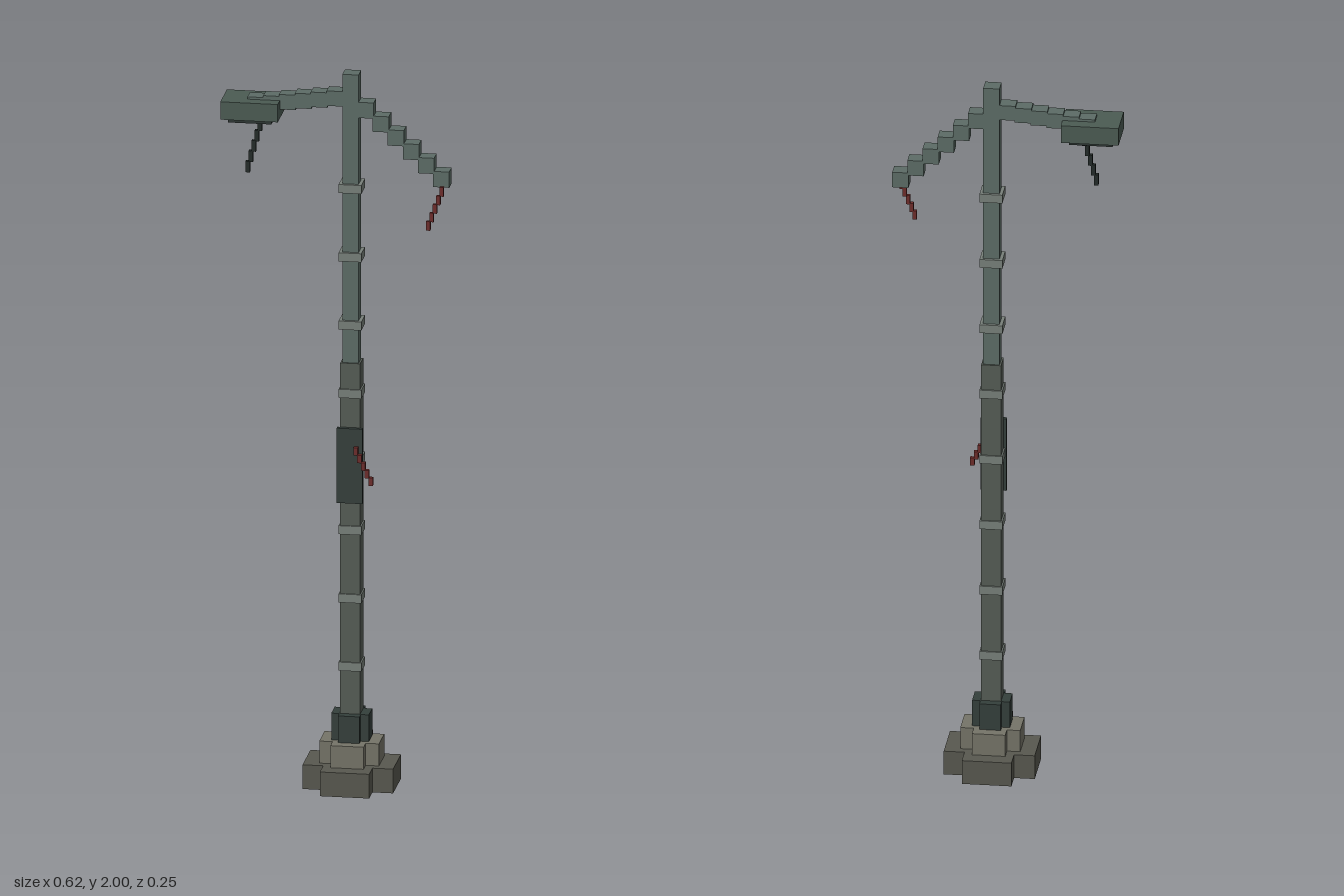
import * as THREE from 'three';

const mat = (color) => new THREE.MeshStandardMaterial({ color, flatShading: true });
const MAT = {
  stone: mat(0x58584f), paleStone: mat(0x757468), dark: mat(0x343f3b),
  lowerMetal: mat(0x555c55), metal: mat(0x5c6c66), band: mat(0x78807a),
  head: mat(0x4b5b53), lens: mat(0x2c3532), cable: mat(0x222a28), red: mat(0x6e2c2a),
};
const PX = 0.04; // pole axis

export function createModel() {
  const root = new THREE.Group();

  const group = (name) => {
    const g = new THREE.Group();
    g.name = name;
    root.add(g);
    return g;
  };

  // Box given by its minimum and maximum corners
  const box = (parent, name, material, [x0, y0, z0], [x1, y1, z1]) => {
    const mesh = new THREE.Mesh(new THREE.BoxGeometry(x1 - x0, y1 - y0, z1 - z0), material);
    mesh.position.set((x0 + x1) / 2, (y0 + y1) / 2, (z0 + z1) / 2);
    mesh.name = name;
    parent.add(mesh);
  };

  // Square column around the pole axis
  const column = (parent, name, material, half, y0, y1) =>
    box(parent, name, material, [PX - half, y0, -half], [PX + half, y1, half]);

  // Plus-shaped slab with long half-length a and short half-width b
  const plusSlab = (name, material, a, b, y0, y1) => {
    const s = new THREE.Shape();
    [[b, a], [b, b], [a, b], [a, -b], [b, -b], [b, -a],
      [-b, -a], [-b, -b], [-a, -b], [-a, b], [-b, b], [-b, a]]
      .reverse().forEach(([x, y], i) => (i ? s.lineTo(x, y) : s.moveTo(x, y)));
    const geo = new THREE.ExtrudeGeometry(s, { depth: y1 - y0, bevelEnabled: false });
    geo.rotateX(-Math.PI / 2);
    const mesh = new THREE.Mesh(geo, material);
    mesh.position.set(PX, y0, 0);
    mesh.name = name;
    root.add(mesh);
  };

  // Loose cable: a stepped chain of small boxes between two points
  const cable = (name, material, from, to, count, size) => {
    const g = group(name);
    const a = new THREE.Vector3(...from), b = new THREE.Vector3(...to);
    const h = Math.abs(a.y - b.y) / count + 0.002;
    for (let i = 0; i < count; i++) {
      const p = a.clone().lerp(b, (i + 0.5) / count);
      box(g, 'cableLink', material,
        [p.x - size / 2, p.y - h / 2, p.z - size / 2], [p.x + size / 2, p.y + h / 2, p.z + size / 2]);
    }
  };

  // Stepped foot
  plusSlab('footing', MAT.stone, 0.123, 0.067, 0, 0.068);
  plusSlab('plinth', MAT.paleStone, 0.081, 0.045, 0.068, 0.13);
  plusSlab('collar', MAT.dark, 0.051, 0.029, 0.13, 0.205);

  // Pole with its bands
  const pole = group('pole');
  column(pole, 'lowerPole', MAT.lowerMetal, 0.027, 0.2, 1.19);
  column(pole, 'upperPole', MAT.metal, 0.022, 1.19, 2);
  for (let i = 0; i < 8; i++) {
    const y = 0.338 + i * 0.1918;
    column(pole, 'band', MAT.band, 0.031, y - 0.012, y + 0.012);
  }

  // Service panel with a torn red wire
  box(root, 'servicePanel', MAT.dark, [0.005, 0.8, 0.026], [0.075, 1.01, 0.039]);
  cable('panelWire', MAT.red, [0.053, 0.96, 0.044], [0.106, 0.86, 0.055], 5, 0.012);

  // Lamp arm, rising gently towards the pole
  const arm = group('lampArm');
  for (let i = 0; i < 6; i++) {
    const x = 0.018 - i * 0.043, top = 1.951 - i * 0.0055;
    box(arm, 'armSegment', MAT.metal, [x - 0.043 / 2 - 0.0215, top - 0.042, -0.021], [x + 0.002, top, 0.021]);
  }

  // Lamp head
  const head = group('lampHead');
  box(head, 'housing', MAT.head, [-0.308, 1.867, -0.056], [-0.152, 1.917, 0.056]);
  box(head, 'lens', MAT.lens, [-0.29, 1.855, -0.04], [-0.172, 1.868, 0.04]);
  cable('lampCable', MAT.cable, [-0.202, 1.86, 0.018], [-0.242, 1.715, 0.024], 5, 0.012);

  // Broken arm, dropping in steps
  const broken = group('brokenArm');
  for (let i = 0; i < 7; i++) {
    const x = 0.04 + i * 0.041, y = 1.938 - i * 0.0368;
    box(broken, 'brokenSegment', MAT.metal, [x - 0.022, y - 0.022, -0.021], [x + 0.022, y + 0.022, 0.021]);
  }
  cable('brokenArmWire', MAT.red, [0.293, 1.697, 0.025], [0.25, 1.58, 0.04], 5, 0.011);

  return root;
}
